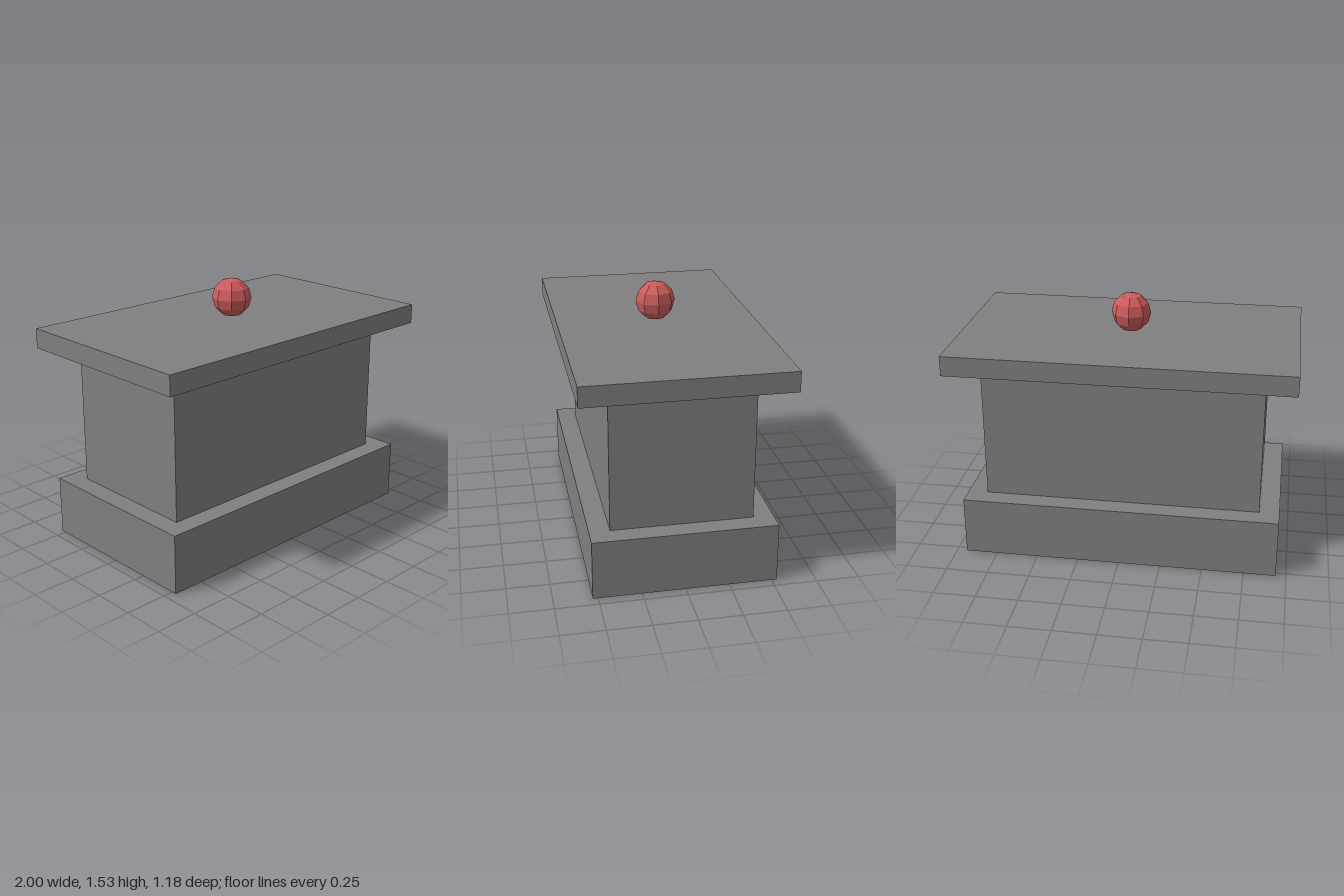
import * as THREE from 'three';

export function createModel() {
  const group = new THREE.Group();
  const stone = new THREE.MeshStandardMaterial({ name: 'grey stone', color: 0x808080, flatShading: true });
  const red = new THREE.MeshStandardMaterial({ name: 'soft red', color: 0xcd5c5c, flatShading: true });

  // Block spanning bottom to top, centred on the vertical axis
  function block(name, width, depth, bottom, top) {
    const mesh = new THREE.Mesh(new THREE.BoxGeometry(width, top - bottom, depth), stone);
    mesh.name = name;
    mesh.position.y = (bottom + top) / 2;
    group.add(mesh);
  }

  // Stepped pedestal
  block('base', 1.88, 1.06, 0, 0.353);
  block('body', 1.645, 0.823, 0.353, 1.177);
  block('topSlab', 2, 1.176, 1.177, 1.295);

  // Faceted ball resting on the slab
  const ball = new THREE.Mesh(new THREE.SphereGeometry(0.1176, 8, 6), red);
  ball.name = 'ball';
  ball.position.y = 1.412;
  group.add(ball);

  return group;
}
